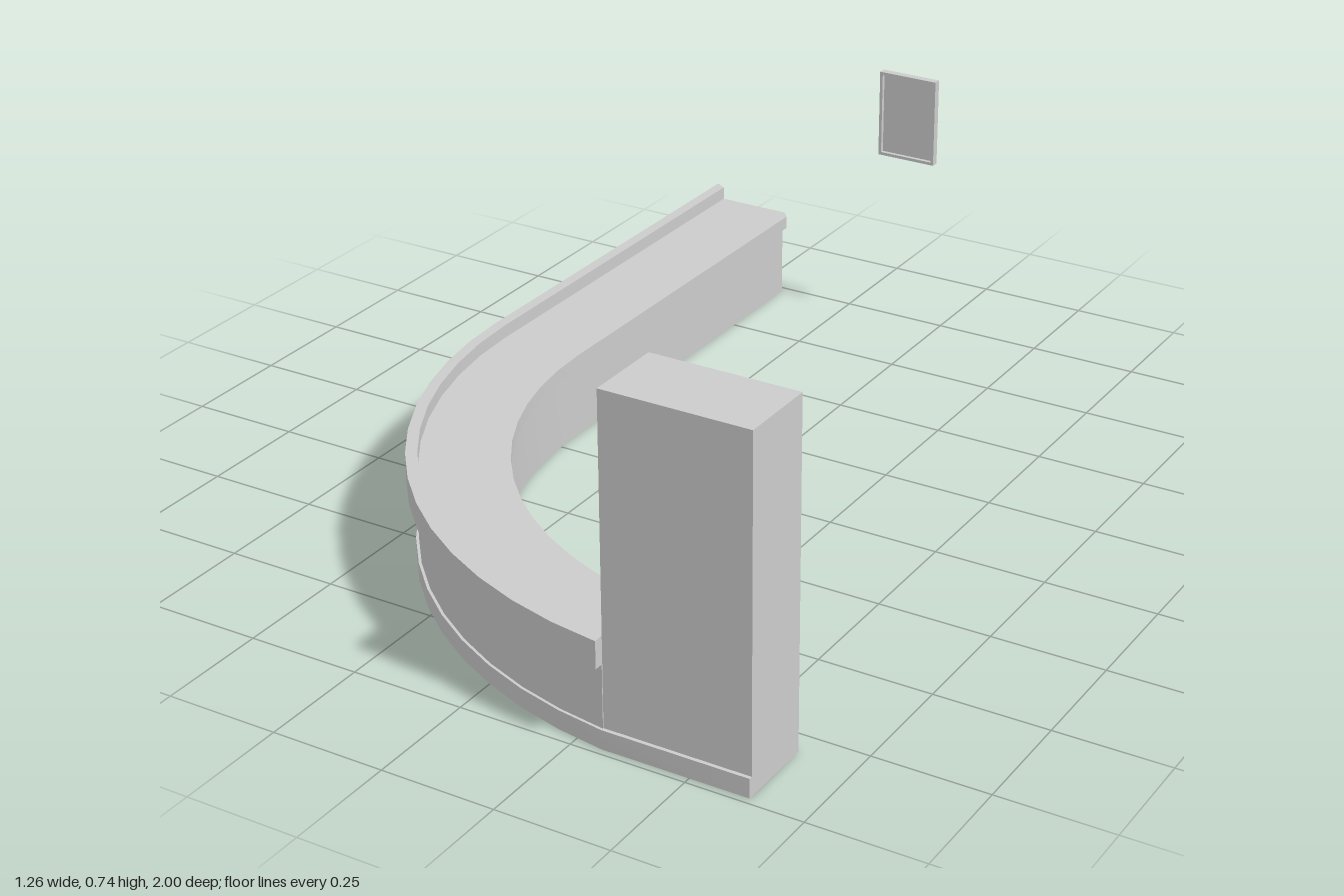
import * as THREE from 'three';
import { toCreasedNormals } from 'three/addons/utils/BufferGeometryUtils.js';

const CX = 0.42, CZ = -0.045;   // centre of the bend in plan
const END_X = 0.31;             // where the counter meets the pillar
const SEGMENTS = 14;

export function createModel() {
  const group = new THREE.Group();
  const material = new THREE.MeshStandardMaterial({ color: 0xcccccc });

  const add = (name, geometry, parent = group) => {
    const mesh = new THREE.Mesh(geometry, material);
    mesh.name = name;
    parent.add(mesh);
    return mesh;
  };

  // Plan line at radius r: straight run from the back, then the bend to the pillar
  const planLine = (r, backZ) => {
    const points = [[CX - r + 0.006, backZ]];
    const last = Math.acos((CX - END_X) / r);
    for (let i = 0; i <= SEGMENTS; i++) {
      const a = (last * i) / SEGMENTS;
      points.push([CX - r * Math.cos(a), CZ + r * Math.sin(a)]);
    }
    return points;
  };

  // Raise a closed plan outline between two heights
  const raise = (outline, y0, y1) => {
    const shape = new THREE.Shape(outline.map(([x, z]) => new THREE.Vector2(x, -z)));
    const geometry = new THREE.ExtrudeGeometry(shape, { depth: y1 - y0, bevelEnabled: false });
    geometry.rotateX(-Math.PI / 2).translate(0, y0, 0);
    return toCreasedNormals(geometry, 0.5);
  };

  const band = (rIn, rOut, zIn, zOut, corner = [], end = []) =>
    [...planLine(rOut, zOut), ...end, ...planLine(rIn, zIn).reverse(), ...corner];

  // Curved counter
  add('counterBody', raise(band(0.855, 1.03, -0.98, -0.98), 0, 0.185));
  add('counterTop', raise(band(0.835, 1.03, -0.965, -0.985, [[-0.425, -0.985]]), 0.18, 0.21));
  add('outerLip', raise(band(1.025, 1.05, -0.985, -1), 0.18, 0.24));
  add('skirting', raise(
    band(1.02, 1.036, -0.98, -0.985, [], [[0.628, 0.985], [0.628, 0.97]]), 0, 0.042));

  // Tall pillar at the front end
  add('pillar', new THREE.BoxGeometry(0.318, 0.743, 0.172).translate(0.469, 0.3715, 0.891));

  // Flat panel with a raised rim, facing +z, back at z = 0
  const framedPanel = (name, w, h, depth, rim, recess) => {
    const frame = new THREE.Group();
    frame.name = name;
    const rect = (Type, a, b) => new Type([
      new THREE.Vector2(-a, -b), new THREE.Vector2(a, -b),
      new THREE.Vector2(a, b), new THREE.Vector2(-a, b)]);
    const shape = rect(THREE.Shape, w / 2, h / 2);
    shape.holes.push(rect(THREE.Path, w / 2 - rim, h / 2 - rim));
    add('rim', new THREE.ExtrudeGeometry(shape, { depth, bevelEnabled: false }), frame);
    const t = depth - recess;
    add('panel', new THREE.BoxGeometry(w - 2 * rim, h - 2 * rim, t).translate(0, 0, t / 2), frame);
    group.add(frame);
    return frame;
  };

  // Small frames on the pillar's side, above the counter
  for (const [name, y] of [['lowerPillarFrame', 0.353], ['upperPillarFrame', 0.523]]) {
    const frame = framedPanel(name, 0.075, 0.115, 0.01, 0.008, 0.007);
    frame.rotation.y = -Math.PI / 2;
    frame.position.set(0.312, y, 0.89);
  }

  // Separate wall panel at the back
  framedPanel('wallPanel', 0.145, 0.207, 0.018, 0.007, 0.009)
    .position.set(-0.083, 0.532, -0.973);

  return group;
}
